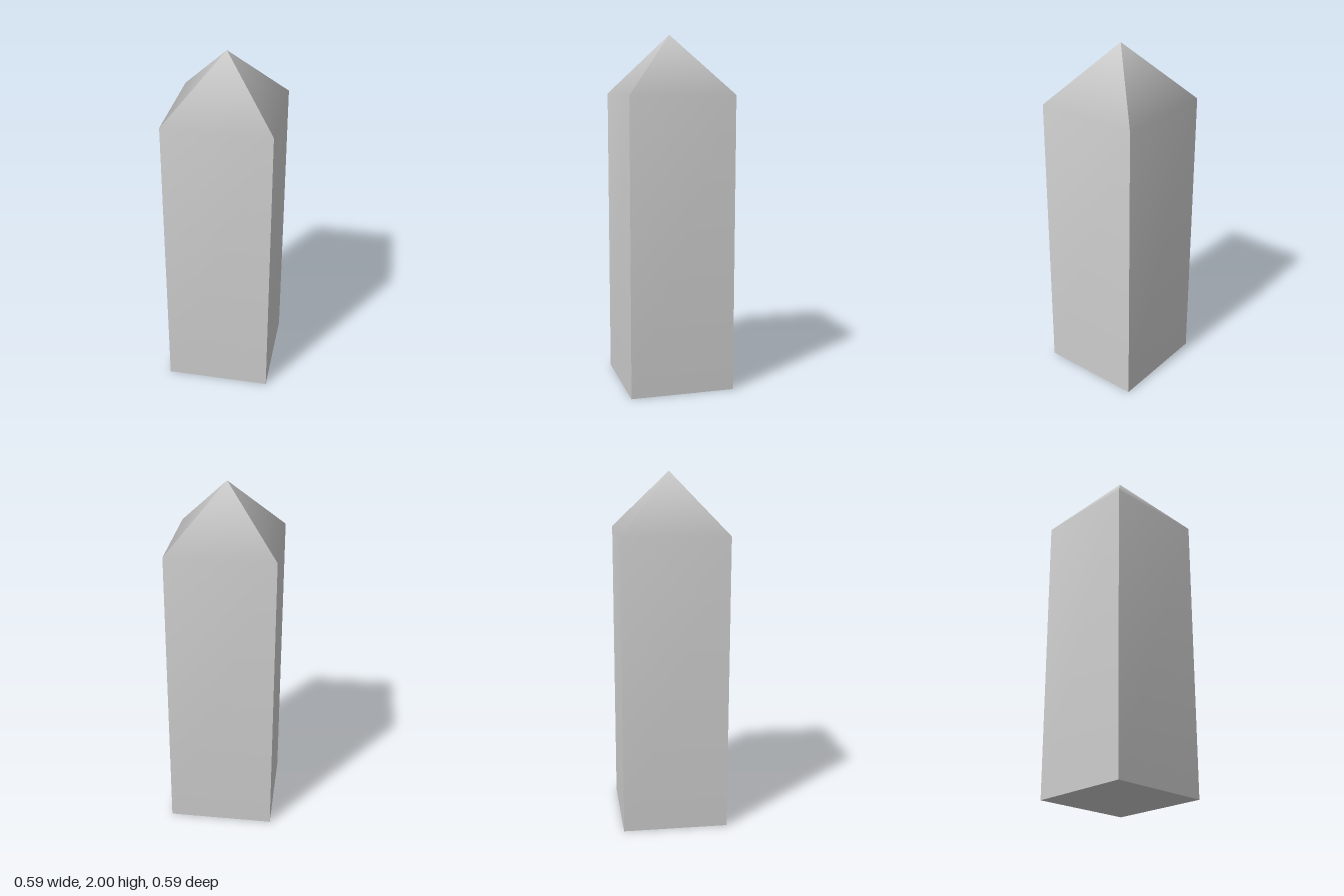
import * as THREE from 'three';
import { mergeGeometries } from 'three/addons/utils/BufferGeometryUtils.js';

const HALF = 0.297, SHOULDER = 1.67, TOP = 2;

// Indexed patch: smooth inside, hard along its borders
function patch(points, index) {
  const geometry = new THREE.BufferGeometry();
  geometry.setAttribute('position', new THREE.Float32BufferAttribute(points.flat(), 3));
  geometry.setIndex(index);
  geometry.computeVertexNormals();
  return geometry;
}

// One side: tall wall flowing softly into its slope of the pointed cap
function side(angle) {
  return patch([
    [-HALF, 0, HALF], [HALF, 0, HALF],
    [HALF, SHOULDER, HALF], [-HALF, SHOULDER, HALF],
    [0, TOP, 0],
  ], [0, 1, 2, 0, 2, 3, 3, 2, 4]).rotateY(angle);
}

export function createModel() {
  const group = new THREE.Group();
  group.name = 'pointedPillar';

  // Flat underside
  const base = patch([
    [-HALF, 0, -HALF], [HALF, 0, -HALF], [HALF, 0, HALF], [-HALF, 0, HALF],
  ], [0, 1, 2, 0, 2, 3]);

  // Four identical sides around the axis
  const sides = [0, 1, 2, 3].map((i) => side(i * Math.PI / 2));

  const pillar = new THREE.Mesh(
    mergeGeometries([base, ...sides]),
    new THREE.MeshStandardMaterial({ color: 0xcccccc }),
  );
  pillar.name = 'pillar';
  group.add(pillar);
  return group;
}
